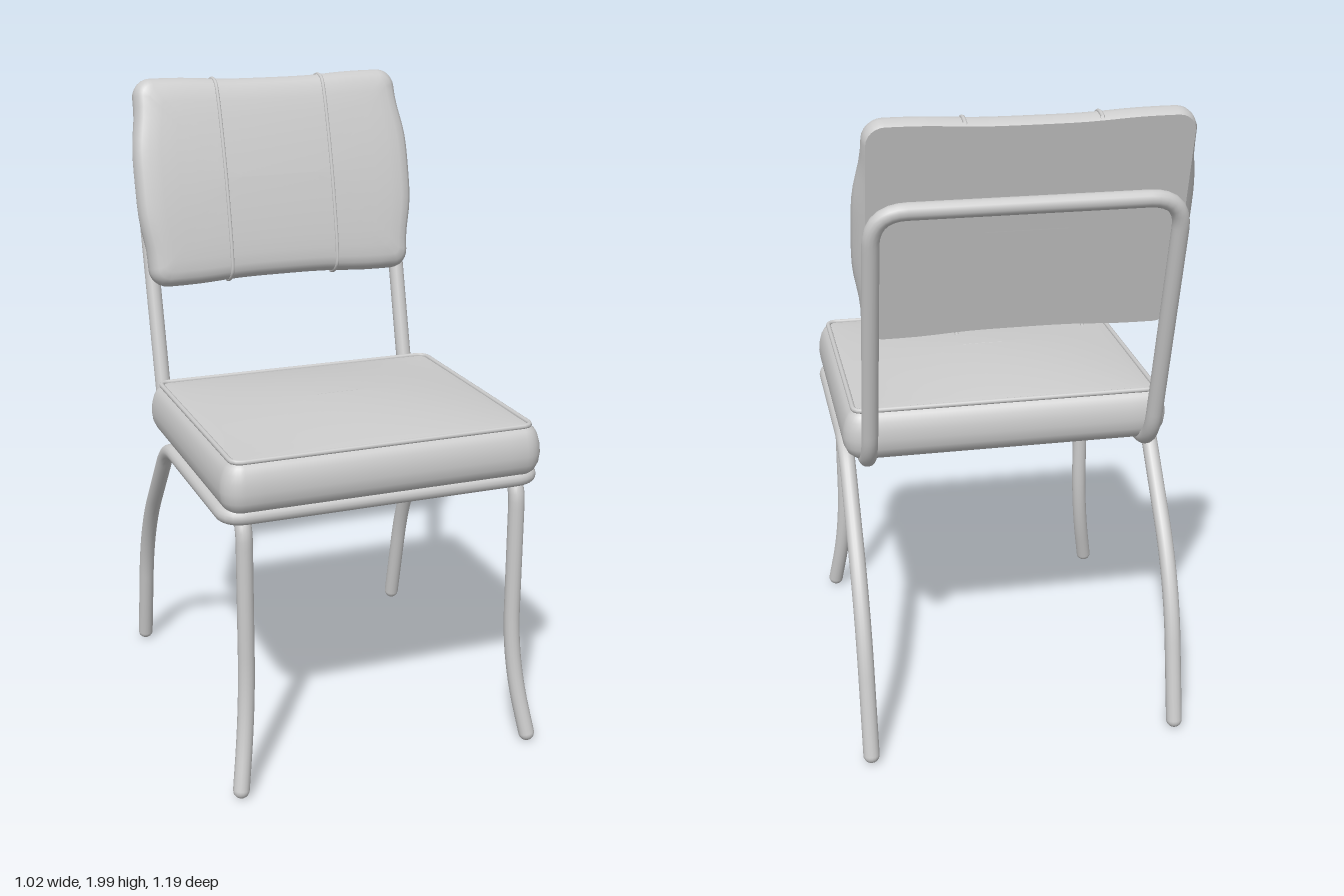
import * as THREE from 'three';

const R = 0.025; // frame tube radius
const grey = () => new THREE.MeshStandardMaterial({ color: 0xcccccc, side: THREE.DoubleSide });
const V = (x, y, z) => new THREE.Vector3(x, y, z);

function addMesh(parent, name, geometry) {
  const mesh = new THREE.Mesh(geometry, grey());
  mesh.name = name;
  parent.add(mesh);
  return mesh;
}

// Polyline of [x, y, z, cornerRadius] with its corners rounded
function roundedPath(points) {
  const path = new THREE.CurvePath();
  let from = V(...points[0]);
  for (let i = 1; i < points.length - 1; i++) {
    const corner = V(...points[i]), r = points[i][3];
    const toward = (q) => V(...q).sub(corner).normalize().multiplyScalar(r).add(corner);
    const a = toward(points[i - 1]), b = toward(points[i + 1]);
    path.add(new THREE.LineCurve3(from, a));
    path.add(new THREE.QuadraticBezierCurve3(a, corner, b));
    from = b;
  }
  path.add(new THREE.LineCurve3(from, V(...points[points.length - 1])));
  return path;
}

// Half of a bent tube, mirrored in x into one continuous tube with round feet
function bentTube(parent, name, half) {
  const other = half.map(([x, y, z, r]) => [-x, y, z, r]).reverse();
  const group = new THREE.Group();
  group.name = name;
  parent.add(group);
  addMesh(group, name + 'Tube', new THREE.TubeGeometry(roundedPath([...half, ...other]), 260, R, 16));
  for (const s of [1, -1]) {
    const foot = addMesh(group, 'footCap', new THREE.SphereGeometry(R, 16, 12));
    foot.position.set(s * half[0][0], half[0][1], half[0][2]);
  }
}

// Counter-clockwise rounded rectangle, with the sides subdivided
function outline(hx, hy, radius, inset) {
  const w = hx - inset, h = hy - inset;
  const r = Math.min(Math.max(radius - inset, 0.02), w, h);
  const arcs = [[1, 1], [-1, 1], [-1, -1], [1, -1]].map(([sx, sy], i) =>
    Array.from({ length: 7 }, (_, k) => {
      const a = (i + k / 6) * Math.PI / 2;
      return [sx * (w - r) + r * Math.cos(a), sy * (h - r) + r * Math.sin(a)];
    }));
  const pts = [];
  arcs.forEach((arc, i) => {
    pts.push(...arc);
    const a = arc[6], b = arcs[(i + 1) % 4][0];
    for (let k = 1; k < 16; k++) pts.push([a[0] + (b[0] - a[0]) * k / 16, a[1] + (b[1] - a[1]) * k / 16]);
  });
  return pts;
}

// Cushion lofted through rings of [inset, height], then shaped by a rule
function cushion(hx, hy, radius, rings, shape) {
  const pos = [], index = [];
  let n = 0;
  rings.forEach(([inset, height], j) => {
    const pts = outline(hx, hy, radius, inset);
    n = pts.length;
    pts.forEach(([x, y], i) => {
      pos.push(...shape(x, y, height));
      if (j === 0) return;
      const a = (j - 1) * n + i, b = (j - 1) * n + (i + 1) % n;
      index.push(a, b, b + n, a, b + n, a + n);
    });
  });
  const g = new THREE.BufferGeometry();
  g.setAttribute('position', new THREE.Float32BufferAttribute(pos, 3));
  g.setIndex(index);
  g.computeVertexNormals();
  return g;
}

function buildSeat(parent) {
  const hx = 0.505, hz = 0.435;
  const seat = new THREE.Group();
  seat.name = 'seat';
  seat.position.set(0, 0.885, 0.13);
  parent.add(seat);

  const rings = [[0.434, 0], [0.06, 0], [0.06, 0], [0.035, 0.006], [0.015, 0.022], [0.004, 0.045], [0, 0.075],
    [0.003, 0.105], [0.01, 0.13], [0.02, 0.148], [0.035, 0.16], [0.035, 0.16]];
  for (const inset of [0.05, 0.08, 0.12, 0.17, 0.23, 0.3, 0.37, 0.434]) rings.push([inset, 0.162]);
  const crown = (x, y, h) => {
    const u = Math.min(1, Math.abs(x) / (hx - 0.035)), v = Math.min(1, Math.abs(y) / (hz - 0.035));
    return [x, y, h > 0.155 ? h + 0.038 * (1 - u * u) * (1 - v * v) : h];
  };
  addMesh(seat, 'seatCushion', cushion(hx, hz, 0.065, rings, crown).rotateX(-Math.PI / 2));

  // Piping around the top panel
  const loop = outline(hx, hz, 0.065, 0.035).map(([x, y]) => V(x, 0.162, -y));
  addMesh(seat, 'seatPiping', new THREE.TubeGeometry(new THREE.CatmullRomCurve3(loop, true), 240, 0.008, 8, true));
}

function buildBackrest(parent) {
  const hx = 0.455, hv = 0.338;
  const back = new THREE.Group();
  back.name = 'backrest';
  back.position.set(0, 1.325, -0.43);
  back.rotation.x = -Math.atan(0.25);
  parent.add(back);

  // Waisted sides, dipped top and bottom edges, swollen front
  const shape = (x, v, n) => {
    const widen = 1 + 0.06 * Math.exp(-((v / 0.19) ** 4)) * Math.min(1, n / 0.04);
    const dip = 0.011 * (v / hv) * Math.exp(-((x / 0.24) ** 4));
    const swell = 0.02 * Math.max(0, 1 - (v / hv) ** 2) * Math.min(1, Math.max(0, (n - 0.03) / 0.04));
    return [x * widen, v - dip + hv, n + swell];
  };
  const rings = [[0.337, 0], [0.2, 0], [0.008, 0], [0.008, 0], [0.002, 0.012], [0, 0.03], [0.002, 0.045],
    [0.01, 0.06], [0.023, 0.071], [0.045, 0.076]];
  for (const inset of [0.08, 0.13, 0.19, 0.26, 0.337]) rings.push([inset, 0.078]);
  addMesh(back, 'backCushion', cushion(hx, hv, 0.06, rings, shape));

  // Two piped seams wrapping the front, top and bottom
  const edge = [[0, 0.005], [0, 0.035], [0.01, 0.06], [0.025, 0.073], [0.08, 0.079], [0.2, 0.079]];
  const profile = [...edge.map(([i, n]) => [i - hv, n]), [0, 0.079], ...edge.map(([i, n]) => [hv - i, n]).reverse()];
  for (const s of [1, -1]) {
    const pts = profile.map(([v, n]) => {
      const p = shape(0.185, v, n);
      return V(s * 0.185, p[1], p[2]);
    });
    addMesh(back, 'backSeam', new THREE.TubeGeometry(new THREE.CatmullRomCurve3(pts), 80, 0.006, 8));
  }
}

export function createModel() {
  const chair = new THREE.Group();
  chair.name = 'chair';

  // Front legs, inner seat rails and back hoop in one tube
  bentTube(chair, 'frontLegsAndBackFrame', [
    [0.475, 0.025, 0.568], [0.435, 0.27, 0.512, 0.17], [0.435, 0.88, 0.512, 0.085],
    [0.435, 0.88, -0.33, 0.13], [0.435, 1.735, -0.55, 0.1],
  ]);
  // Rear legs, outer seat rails and front bar in one tube
  bentTube(chair, 'rearLegsAndSeatFrame', [
    [0.483, 0.025, -0.553], [0.485, 0.47, -0.457, 0.2], [0.485, 0.88, -0.126, 0.09],
    [0.485, 0.88, 0.52, 0.06],
  ]);
  buildSeat(chair);
  buildBackrest(chair);
  return chair;
}
